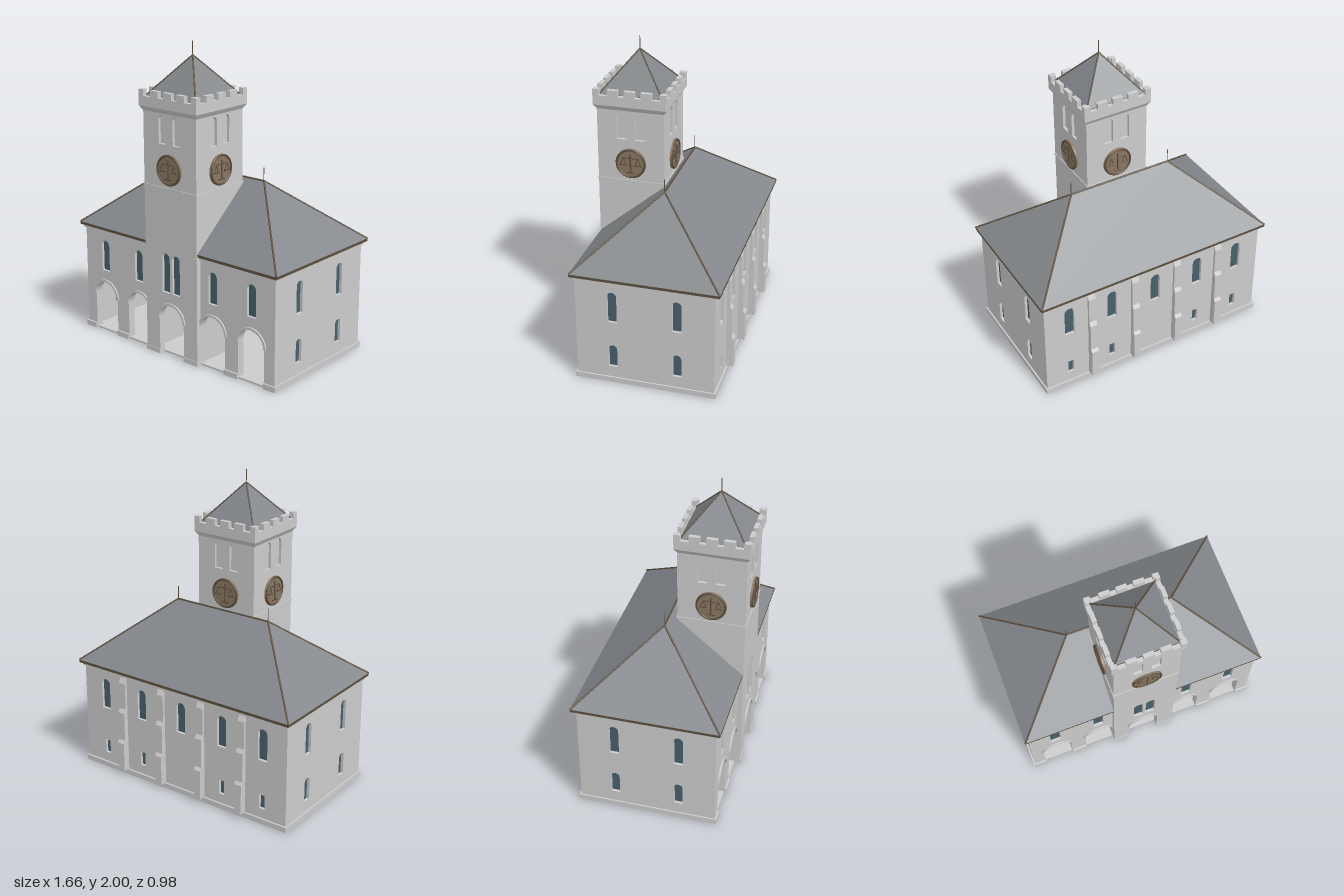
import * as THREE from 'three';

const mat = (color, side = THREE.FrontSide) => new THREE.MeshStandardMaterial({ color, side });
const stone = mat(0xcccccc);
const slate = mat(0x84888c, THREE.DoubleSide);
const glass = mat(0x48606c);
const bronze = mat(0x8a7660);
const darkBronze = mat(0x5e5040);

function add(parent, name, geo, material, x = 0, y = 0, z = 0) {
  const m = new THREE.Mesh(geo, material);
  m.name = name;
  m.position.set(x, y, z);
  parent.add(m);
  return m;
}

// Box given by its minimum and maximum corners
function box(parent, name, a, b, material = stone) {
  const s = b.map((v, i) => v - a[i]);
  const c = b.map((v, i) => (v + a[i]) / 2);
  return add(parent, name, new THREE.BoxGeometry(...s), material, ...c);
}

// Thin rod between two points
function rod(parent, name, a, b, r, material = darkBronze) {
  const p = new THREE.Vector3(...a), q = new THREE.Vector3(...b);
  const m = add(parent, name, new THREE.CylinderGeometry(r, r, p.distanceTo(q), 8), material);
  m.position.copy(p).add(q).multiplyScalar(0.5);
  m.quaternion.setFromUnitVectors(new THREE.Vector3(0, 1, 0), q.sub(p).normalize());
  return m;
}

function extrude(shape, depth) {
  return new THREE.ExtrudeGeometry(shape, { depth, bevelEnabled: false, curveSegments: 16 });
}

// Up one jamb, over the round head and down the other
function traceArch(path, { x, y0 = 0, y1, hw }) {
  path.lineTo(x - hw, y0);
  path.lineTo(x - hw, y1 - hw);
  path.absarc(x, y1 - hw, hw, Math.PI, 0, true);
  path.lineTo(x + hw, y0);
}

// Upright wall facing +z: arches are open to the ground, windows are glazed recesses
function wall(parent, name, w, h, depth, arches, windows, at, turn) {
  const g = new THREE.Group();
  g.name = name;
  const s = new THREE.Shape();
  s.moveTo(-w / 2, 0);
  arches.forEach((a) => traceArch(s, a));
  s.lineTo(w / 2, 0);
  s.lineTo(w / 2, h);
  s.lineTo(-w / 2, h);
  s.closePath();
  for (const o of windows) {
    const hole = new THREE.Path();
    hole.moveTo(o.x - o.hw, o.y0);
    if (o.square) {
      hole.lineTo(o.x - o.hw, o.y1);
      hole.lineTo(o.x + o.hw, o.y1);
      hole.lineTo(o.x + o.hw, o.y0);
    } else traceArch(hole, o);
    hole.closePath();
    s.holes.push(hole);
    box(g, 'windowPane', [o.x - o.hw - 0.004, o.y0 - 0.004, -0.03], [o.x + o.hw + 0.004, o.y1 + 0.004, -0.018], o.material || glass);
  }
  add(g, 'masonry', extrude(s, depth), stone, 0, 0, -depth);
  for (const { x, y1, hw } of arches) {
    const rim = new THREE.Shape();
    rim.absarc(x, y1 - hw, hw + 0.015, 0, Math.PI, false);
    rim.absarc(x, y1 - hw, hw, Math.PI, 0, true);
    rim.closePath();
    add(g, 'archMoulding', extrude(rim, 0.02), stone, 0, 0, -0.01);
  }
  g.position.set(...at);
  g.rotation.y = turn;
  parent.add(g);
  return g;
}

// Hipped roof with bronze hips; a ridge of zero makes a pyramid
function hipRoof(parent, name, hw, hd, h, ridge, at, r) {
  const g = new THREE.Group();
  g.name = name;
  const [A, B, C, D] = [[-hw, 0, hd], [hw, 0, hd], [hw, 0, -hd], [-hw, 0, -hd]];
  const L = [-ridge, h, 0], R = [ridge, h, 0];
  const tris = [A, B, R, B, C, R, C, D, L, D, A, L];
  if (ridge) tris.push(A, R, L, C, L, R);
  const geo = new THREE.BufferGeometry();
  geo.setAttribute('position', new THREE.Float32BufferAttribute(tris.flat(), 3));
  geo.computeVertexNormals();
  add(g, 'roofSlopes', geo, slate);
  [[A, L], [D, L], [B, R], [C, R]].forEach(([p, q]) => rod(g, 'hipRoll', p, q, r));
  if (ridge) rod(g, 'ridgeRoll', L, R, r);
  g.position.set(...at);
  parent.add(g);
}

// Round relief showing a pair of scales, facing +z
function medallion(parent, r, at, turn = 0) {
  const g = new THREE.Group();
  g.name = 'scalesMedallion';
  const disc = add(g, 'disc', new THREE.CylinderGeometry(r, r, r * 0.12, 32), bronze);
  disc.rotation.x = Math.PI / 2;
  add(g, 'rim', new THREE.TorusGeometry(r * 0.93, r * 0.07, 8, 40), darkBronze, 0, 0, r * 0.06);
  const z = r * 0.08, t = r * 0.04;
  rod(g, 'post', [0, -r * 0.6, z], [0, r * 0.65, z], t * 1.3);
  rod(g, 'beam', [-r * 0.5, r * 0.38, z], [r * 0.5, r * 0.38, z], t);
  rod(g, 'foot', [-r * 0.28, -r * 0.6, z], [r * 0.28, -r * 0.6, z], t * 1.3);
  for (const s of [-1, 1]) {
    for (const e of [-1, 1]) rod(g, 'chain', [s * r * 0.5, r * 0.38, z], [(s * 0.5 + e * 0.2) * r, -r * 0.1, z], t * 0.7);
    rod(g, 'pan', [(s * 0.5 - 0.24) * r, -r * 0.1, z], [(s * 0.5 + 0.24) * r, -r * 0.1, z], t * 1.3);
  }
  g.position.set(...at);
  g.rotation.y = turn;
  parent.add(g);
}

export function createModel() {
  const model = new THREE.Group();
  model.name = 'townHall';
  const half = Math.PI / 2;

  // Main hall walls
  const upper = (x) => ({ x, y0: 0.43, y1: 0.64, hw: 0.034 });
  const bays = [-0.625, -0.32, 0.32, 0.625];
  for (const s of [-1, 1]) {
    const xs = [0.315, 0.62].map((x) => s * (x - 0.505)).sort((a, b) => a - b);
    wall(model, 'frontWall', 0.59, 0.71, 0.05, xs.map((x) => ({ x, y1: 0.35, hw: 0.1 })), xs.map(upper), [s * 0.505, 0, 0.44], 0);
    const ends = [-0.205, 0.205].flatMap((x) => [{ ...upper(x), hw: 0.03 }, { x, y0: 0.11, y1: 0.265, hw: 0.028 }]);
    wall(model, 'endWall', 0.78, 0.71, 0.05, [], ends, [s * 0.8, 0, 0], s * half);
  }
  const low = bays.map((x) => ({ x, y0: 0.1, y1: 0.195, hw: 0.02, square: true }));
  wall(model, 'backWall', 1.6, 0.71, 0.05, [], [...bays, 0].map(upper).concat(low), [0, 0, -0.44], Math.PI);

  // Plinth, interrupted by the entrances
  box(model, 'floor', [-0.79, 0, -0.43], [0.79, 0.012, 0.435]);
  box(model, 'backPlinth', [-0.81, 0, -0.452], [0.81, 0.035, -0.43]);
  for (const s of [-1, 1]) {
    box(model, 'endPlinth', [s * 0.8 - 0.01, 0, -0.452], [s * 0.8 + 0.01, 0.035, 0.452]);
    for (const [a, b] of [[0.415, 0.52], [0.72, 0.81]]) {
      box(model, 'frontPlinth', [s > 0 ? a : -b, 0, 0.42], [s > 0 ? b : -a, 0.035, 0.452]);
    }
  }

  // Arcade interior with benches and wall ornaments
  box(model, 'arcadeBackWall', [-0.78, 0, -0.28], [0.78, 0.41, -0.25]);
  box(model, 'arcadeCeiling', [-0.78, 0.4, -0.28], [0.78, 0.42, 0.41]);
  for (const x of [-0.605, -0.31, 0.31, 0.605]) {
    box(model, 'benchSeat', [x - 0.085, 0.042, -0.25], [x + 0.085, 0.056, -0.17], bronze);
    for (const e of [-0.07, 0.07]) box(model, 'benchLeg', [x + e - 0.01, 0, -0.24], [x + e + 0.01, 0.042, -0.18], bronze);
    medallion(model, 0.018, [x, 0.185, -0.248]);
  }

  // Stepped buttresses with sloping tops, one profile swept across the width
  const steps = new THREE.Shape([[0.43, 0.035], [0.487, 0.035], [0.487, 0.235], [0.473, 0.255], [0.473, 0.45],
    [0.457, 0.475], [0.457, 0.655], [0.44, 0.69], [0.43, 0.69]].map((p) => new THREE.Vector2(...p)));
  for (const x of [-0.475, -0.16, 0.155, 0.47]) {
    add(model, 'buttress', extrude(steps, 0.05), stone, x - 0.025).rotation.y = half;
  }

  // Hall roof
  box(model, 'cornice', [-0.81, 0.7, -0.45], [0.81, 0.722, 0.45]);
  box(model, 'eaves', [-0.825, 0.722, -0.472], [0.825, 0.74, 0.468], darkBronze);
  hipRoof(model, 'hallRoof', 0.825, 0.47, 0.393, 0.355, [0, 0.74, -0.002], 0.006);
  for (const s of [-1, 1]) rod(model, 'roofFinial', [s * 0.355, 1.12, 0], [s * 0.355, 1.22, 0], 0.0025);

  // Tower walls, with twin belfry openings and a medallion on every side
  const tz = 0.257, tw = 0.216;
  const belfry = [-0.058, 0.058].map((x) => ({ x, y0: 1.39, y1: 1.57, hw: 0.03, material: stone }));
  const twin = [-0.042, 0.042].map((x) => ({ x, y0: 0.43, y1: 0.69, hw: 0.032 }));
  for (let i = 0; i < 4; i++) {
    const a = i * half, dx = Math.sin(a), dz = Math.cos(a);
    // The rear wall stands on the hall and starts above the arcade
    const base = i === 2 ? 0.42 : 0;
    const lift = (o) => ({ ...o, y0: o.y0 - base, y1: o.y1 - base });
    const doorway = i === 0 ? [{ x: 0, y1: 0.35, hw: 0.103 }] : [];
    wall(model, 'towerWall', i % 2 ? 0.35 : 2 * tw, 1.6 - base, 0.045, doorway,
      (i === 0 ? [...belfry, ...twin] : belfry).map(lift), [dx * tw, base, tz + dz * tw], a);
    medallion(model, 0.098, [dx * (tw + 0.006), 1.235, tz + dz * (tw + 0.006)], a);
  }
  box(model, 'stringCourse', [-tw - 0.005, 1.105, tz - tw - 0.005], [tw + 0.005, 1.118, tz + tw + 0.005]);
  for (const s of [-1, 1]) box(model, 'towerPlinth', [s * 0.16 - 0.057, 0, 0.44], [s * 0.16 + 0.057, 0.03, tz + tw + 0.004]);

  // Panelled entrance door set deep in the tower
  box(model, 'doorSurround', [-0.18, 0, 0.09], [0.18, 0.42, 0.12]);
  box(model, 'door', [-0.104, 0.01, 0.12], [0.104, 0.22, 0.13], darkBronze);
  box(model, 'doorLintel', [-0.108, 0.22, 0.118], [0.108, 0.232, 0.138], bronze);
  for (let i = 0; i < 6; i++) {
    for (let j = 0; j < 4; j++) {
      const x = -0.083 + i * 0.0332, y = 0.06 + j * 0.043;
      box(model, 'doorPanel', [x - 0.012, y - 0.015, 0.13], [x + 0.012, y + 0.015, 0.134], bronze);
    }
  }
  medallion(model, 0.045, [0, 0.295, 0.123]);

  // Flared corbel course and battlements
  const flare = new THREE.CylinderGeometry(0.235 * Math.SQRT2, tw * Math.SQRT2, 0.03, 4, 1, true).toNonIndexed();
  flare.rotateY(Math.PI / 4);
  flare.computeVertexNormals();
  add(model, 'corbelCourse', flare, stone, 0, 1.595, tz);
  box(model, 'towerDeck', [-0.22, 1.6, tz - 0.22], [0.22, 1.655, tz + 0.22]);
  for (let i = 0; i < 4; i++) {
    const side = new THREE.Group();
    side.name = 'parapetSide';
    box(side, 'parapet', [-0.235, 1.61, 0.207], [0.235, 1.672, 0.235]);
    for (const x of [-0.215, -0.108, 0, 0.108, 0.215]) {
      const w = Math.abs(x) > 0.2 ? 0.02 : 0.034;
      box(side, 'merlon', [x - w, 1.672, 0.207], [x + w, 1.712, 0.235]);
    }
    side.position.z = tz;
    side.rotation.y = i * half;
    model.add(side);
  }

  // Tower roof and spire
  box(model, 'towerEaves', [-0.203, 1.655, tz - 0.203], [0.203, 1.672, tz + 0.203], darkBronze);
  hipRoof(model, 'towerRoof', 0.203, 0.203, 0.243, 0, [0, 1.672, tz], 0.005);
  rod(model, 'spire', [0, 1.9, tz], [0, 2, tz], 0.003);
  return model;
}
